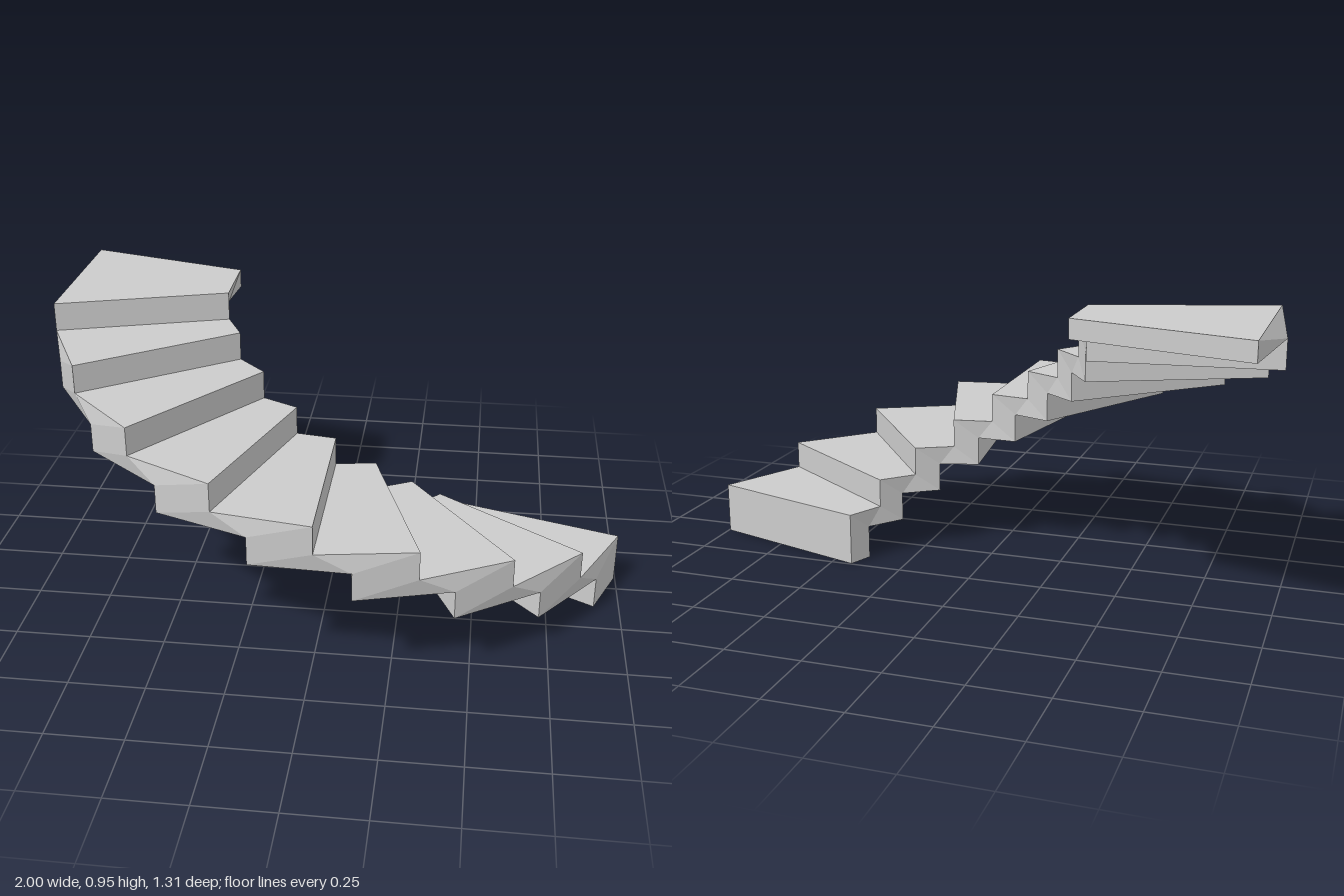
import * as THREE from 'three';

// Curved stair: stepped top, stepped underside, nine levels with a wider landing on top
const STEPS = 9, RISE = 0.0965, FIRST = 0.175, SLAB = 0.063;
const CX = 0.018, CZ = -0.373, R_IN = 0.43, R_OUT = 1.024;
const START = 17.3, TURN = 18.2, LAG = 11.6;

// A station holds the inner and outer plan points of one radial line
function station(deg) {
  const a = THREE.MathUtils.degToRad(deg);
  const at = (r) => [CX + r * Math.cos(a), CZ + r * Math.sin(a)];
  return { inner: at(R_IN), outer: at(R_OUT) };
}

const landingEnd = { inner: [-0.395, -0.49], outer: [-0.96, -0.655] };
const nosing = (i) => (i === STEPS ? landingEnd : station(START + TURN * i));
const under = (i) => station(i < 0 ? START : START + TURN * i + LAG);
const topY = (i) => (i < 0 ? 0 : FIRST + RISE * i);
const bottomY = (i) => (i === 0 ? 0 : topY(i - 1) - SLAB);

function createStep(i, material) {
  const step = new THREE.Group();
  step.name = i === STEPS - 1 ? 'landing' : `step${i + 1}`;

  const addPart = (name, polygons) => {
    const pos = [];
    for (const p of polygons)
      for (let k = 1; k < p.length - 1; k++) pos.push(...p[0], ...p[k], ...p[k + 1]);
    const geo = new THREE.BufferGeometry();
    geo.setAttribute('position', new THREE.Float32BufferAttribute(pos, 3));
    geo.computeVertexNormals();
    const mesh = new THREE.Mesh(geo, material);
    mesh.name = name;
    step.add(mesh);
  };
  const point = ([s, y], side) => [s[side][0], y, s[side][1]];
  // Face across the stair width, from profile point p to q
  const across = (p, q) => [point(p, 'inner'), point(q, 'inner'), point(q, 'outer'), point(p, 'outer')];

  // Profile corners of this step
  const frontLow = [nosing(i), topY(i - 1)], frontTop = [nosing(i), topY(i)];
  const backTop = [nosing(i + 1), topY(i)];
  const soffitFront = [under(i - 1), bottomY(i)], soffitBack = [under(i), bottomY(i)];
  const underTop = [under(i), bottomY(i + 1)];

  addPart('tread', [across(frontTop, backTop)]);
  addPart('riser', [across(frontLow, frontTop)]);
  addPart('soffit', [across(soffitBack, soffitFront)]);
  addPart('undersideRiser', [across(underTop, soffitBack)]);

  const sides = [
    [frontLow, soffitFront, soffitBack, frontTop],
    [frontTop, soffitBack, underTop, backTop],
  ];

  // The landing slab closes with its own underside and end
  if (i === STEPS - 1) {
    const endLow = [landingEnd, bottomY(STEPS)];
    addPart('landingSoffit', [across(endLow, underTop)]);
    addPart('landingEnd', [across(backTop, endLow)]);
    sides.push([backTop, underTop, endLow]);
  }
  addPart('innerSide', sides.map((f) => f.map((p) => point(p, 'inner'))));
  addPart('outerSide', sides.map((f) => f.map((p) => point(p, 'outer')).reverse()
    // keep the fan starting at the same corner after reversing
    .map((_, k, a) => a[(k + a.length - 1) % a.length])));
  return step;
}

export function createModel() {
  const model = new THREE.Group();
  model.name = 'curvedStair';
  const stone = new THREE.MeshStandardMaterial({ color: 0xcccccc });
  stone.name = 'lightGrey';
  for (let i = 0; i < STEPS; i++) model.add(createStep(i, stone));
  return model;
}
